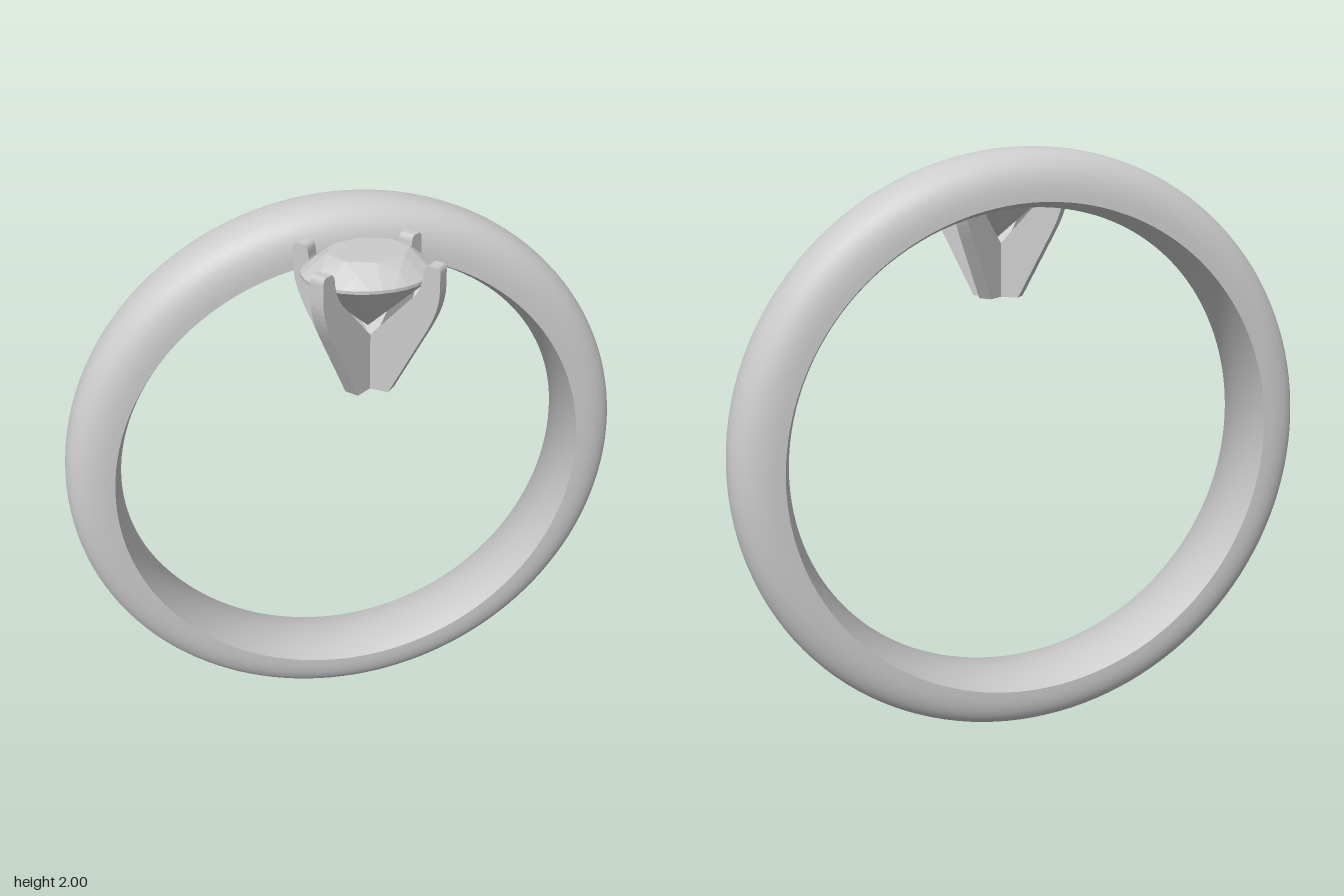
import * as THREE from 'three';

const material = new THREE.MeshStandardMaterial({ color: 0xcccccc });
const flat = new THREE.MeshStandardMaterial({ color: 0xcccccc, flatShading: true });
const STONE_Z = 0.135;

function part(name, geometry, mat = material) {
  const mesh = new THREE.Mesh(geometry, mat);
  mesh.name = name;
  return mesh;
}

// Band: rounded outer surface and gently bulging inner surface, sharing sharp edges
function createBand() {
  const band = new THREE.Group();
  band.name = 'band';
  const edge = 0.838, half = 0.135, steps = 32;
  const outer = [], inner = [];
  const power = (v, p) => Math.sign(v) * Math.abs(v) ** p;
  for (let i = 0; i <= steps; i++) {
    const a = -Math.PI / 2 + (Math.PI * i) / steps;
    const c = Math.max(0, Math.cos(a)), s = Math.sin(a);
    outer.push(new THREE.Vector2(edge + (1 - edge) * power(c, 0.8), half * power(s, 0.8)));
    const u = 1 - (2 * i) / steps;
    inner.push(new THREE.Vector2(edge - 0.026 * (1 - u * u), half * u));
  }
  band.add(part('bandOuter', new THREE.LatheGeometry(outer, 128)));
  band.add(part('bandInner', new THREE.LatheGeometry(inner, 128)));
  band.rotation.x = Math.PI / 2;
  band.position.set(0, 1, -0.175);
  return band;
}

// Oval brilliant-cut stone built from rings of facet corners
function createStone() {
  const sides = 8, per = 4, count = sides * per;
  const ring = (n, ratio, y, shift = 0) => Array.from({ length: n }, (_, i) => {
    const a = ((i + shift) / n) * Math.PI * 2;
    return [0.206 * ratio * Math.cos(a), y, -0.17 * ratio * Math.sin(a)];
  });
  const table = ring(sides, 0.62, 1.93);
  const star = ring(sides, 0.8, 1.905, 0.5);
  const girdleTop = ring(count, 1, 1.87);
  const girdleLow = ring(count, 1, 1.86);
  const lower = ring(sides, 0.3, 1.737, 0.5);
  const tableCentre = [0, 1.93, 0], culet = [0, 1.685, 0];
  const data = [];
  const tri = (...corners) => corners.forEach((c) => data.push(...c));

  for (let k = 0; k < sides; k++) {
    const next = (k + 1) % sides, prev = (k + sides - 1) % sides, g = k * per;
    tri(tableCentre, table[k], table[next]);
    tri(table[k], star[k], table[next]);
    // kite facets of the crown and the pavilion
    tri(table[k], star[prev], girdleTop[g]);
    tri(table[k], girdleTop[g], star[k]);
    tri(culet, girdleLow[g], lower[prev]);
    tri(culet, lower[k], girdleLow[g]);
    // girdle facets
    for (let j = g; j < g + per; j++) {
      const n = (j + 1) % count;
      tri(star[k], girdleTop[j], girdleTop[n]);
      tri(girdleTop[j], girdleLow[j], girdleLow[n]);
      tri(girdleTop[j], girdleLow[n], girdleTop[n]);
      tri(lower[k], girdleLow[n], girdleLow[j]);
    }
  }
  const geometry = new THREE.BufferGeometry();
  geometry.setAttribute('position', new THREE.Float32BufferAttribute(data, 3));
  geometry.computeVertexNormals();
  const stone = part('stone', geometry, flat);
  stone.position.z = STONE_Z;
  return stone;
}

// Setting: four curved plate prongs meeting in a cross at the foot
function createSetting() {
  const setting = new THREE.Group();
  setting.name = 'setting';
  const thickness = 0.05;
  const shape = new THREE.Shape();
  shape.moveTo(0, 1.48);
  shape.lineTo(0.083, 1.48);
  shape.lineTo(0.185, 1.675);
  shape.bezierCurveTo(0.22, 1.74, 0.244, 1.79, 0.244, 1.85);
  shape.lineTo(0.243, 1.9);
  shape.quadraticCurveTo(0.242, 1.922, 0.225, 1.922);
  shape.lineTo(0.208, 1.922);
  shape.quadraticCurveTo(0.193, 1.92, 0.191, 1.9);
  shape.bezierCurveTo(0.188, 1.85, 0.165, 1.815, 0.13, 1.785);
  shape.lineTo(0, 1.645);
  const geometry = new THREE.ExtrudeGeometry(shape, {
    depth: thickness, bevelEnabled: false, curveSegments: 8,
  });
  geometry.translate(0, 0, -thickness / 2);
  const angle = 0.68;
  for (const a of [angle, -angle, Math.PI - angle, Math.PI + angle]) {
    const prong = part('prong', geometry);
    prong.rotation.y = a;
    setting.add(prong);
  }
  setting.position.z = STONE_Z;
  return setting;
}

export function createModel() {
  const model = new THREE.Group();
  model.name = 'ring';
  model.add(createBand(), createStone(), createSetting());
  return model;
}
